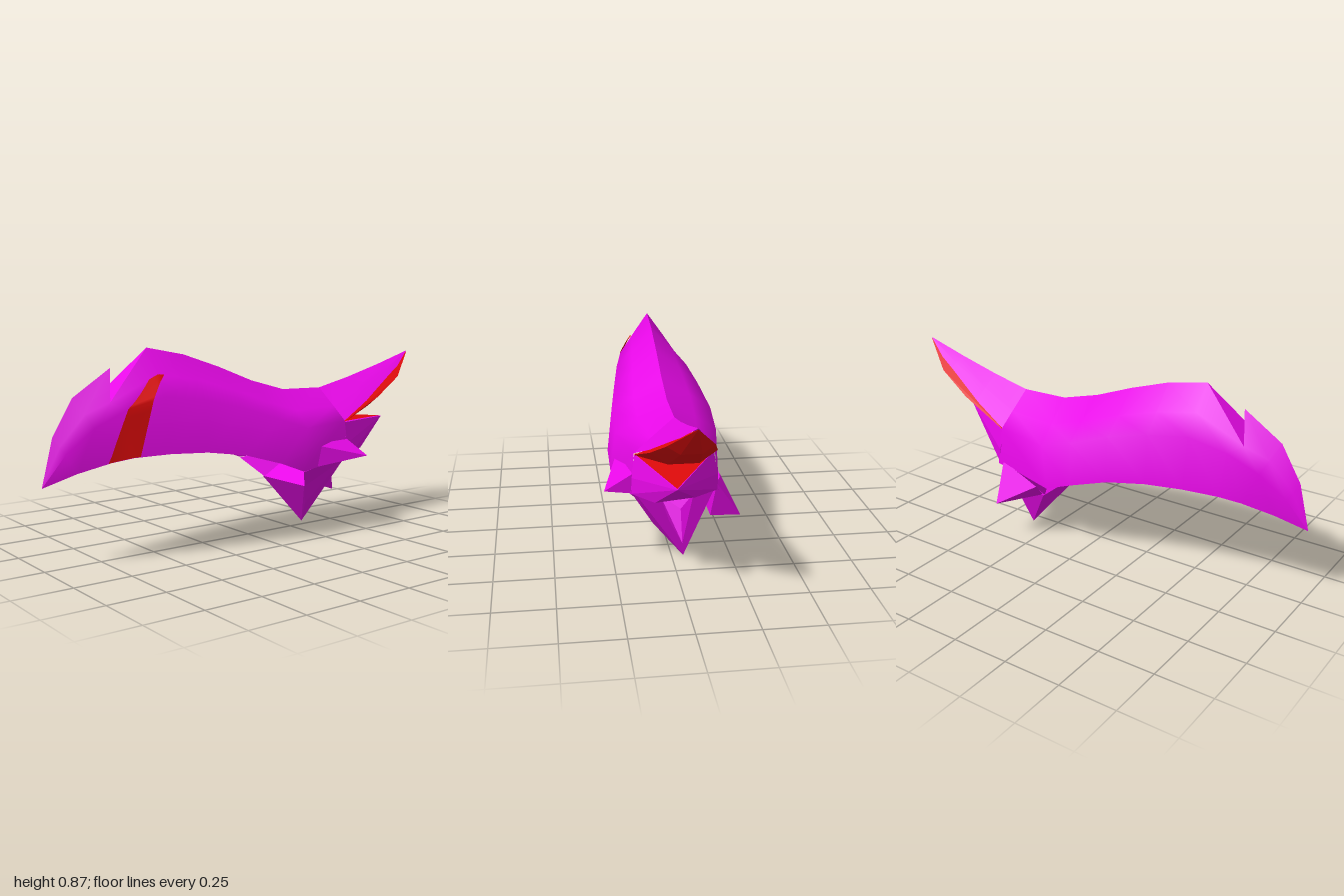
import * as THREE from 'three';
import { ConvexGeometry } from 'three/addons/geometries/ConvexGeometry.js';

// cross-sections of the hollow body: ridge z, ridge y, hem z, hem y, half width
const SECTIONS = [
  [1, 0.335, 1, 0.335, 0],
  [0.95, 0.53, 0.87, 0.385, 0.045],
  [0.86, 0.68, 0.74, 0.42, 0.085],
  [0.69, 0.79, 0.65, 0.435, 0.112],
  [0.52, 0.865, 0.5, 0.44, 0.145],
  [0.34, 0.83, 0.34, 0.435, 0.18],
  [0.16, 0.77, 0.17, 0.41, 0.21],
  [-0.02, 0.7, 0, 0.36, 0.24],
  [-0.2, 0.65, -0.13, 0.31, 0.238],
  [-0.42, 0.645, -0.45, 0.33, 0.18],
];
const OUT = [0, 0.52, 0.92, 1];
const DOWN = [0, 0.25, 0.45, 1];
const NOTCH = 3; // section where the crest is split
const lerp = THREE.MathUtils.lerp;

const BODY = SECTIONS.map(([zt, yt, zl, yl, w]) =>
  OUT.map((o, j) => [w * o, lerp(yt, yl, DOWN[j]), lerp(zt, zl, DOWN[j])]));
BODY[NOTCH][1] = [0.07, 0.66, 0.73];

// tail roof continues the upper part of the last body section to a point
const ROOF = [
  BODY[BODY.length - 1].slice(0, 3),
  [[0, 0.685, -0.6], [0.068, 0.635, -0.61], [0.122, 0.585, -0.62]],
  [[0, 0.738, -0.8], [0.042, 0.71, -0.81], [0.075, 0.678, -0.82]],
  [[0, 0.797, -1], [0, 0.797, -1], [0, 0.797, -1]],
];

function surfaceGeometry(points, index) {
  const g = new THREE.BufferGeometry();
  g.setAttribute('position', new THREE.Float32BufferAttribute(points.flat(), 3));
  g.setIndex(index);
  g.computeVertexNormals();
  return g;
}

// skin one half from rows of ridge-to-hem points; side is +1 or -1
function halfShell(grid, side, notch = -1) {
  const n = grid[0].length;
  const points = grid.flat().map(([x, y, z]) => [x * side, y, z]);
  const index = [];
  const tri = (a, b, c) => index.push(...(side > 0 ? [a, b, c] : [a, c, b]));
  for (let i = 0; i < grid.length - 1; i++) {
    for (let j = 0; j < n - 1; j++) {
      const a = i * n + j, b = a + n, c = a + 1, d = b + 1;
      if (i !== notch || j !== 0) tri(a, c, b); // leave the crest notch open
      tri(c, d, b);
    }
  }
  return surfaceGeometry(points, index);
}

// point on the left wall at section u, row v
function wallPoint(u, v) {
  const i = Math.min(Math.floor(u), BODY.length - 2);
  const j = Math.min(Math.floor(v), OUT.length - 2);
  return [0, 1, 2].map((k) => lerp(
    lerp(BODY[i][j][k], BODY[i + 1][j][k], u - i),
    lerp(BODY[i][j + 1][k], BODY[i + 1][j + 1][k], u - i), v - j));
}

// curved stripe lying just off the left wall
function stripeGeometry() {
  const rows = 12, cols = 6, points = [], index = [];
  const curve = (a, b, c, s) => a + (4 * b - 3 * a - c) * s + (2 * a - 4 * b + 2 * c) * s * s;
  for (let r = 0; r <= rows; r++) {
    const s = r / rows;
    for (let c = 0; c <= cols; c++) {
      const u = lerp(curve(1.9, 3, 3.8, s), curve(3.15, 3.65, 4.15, s), c / cols);
      const [x, y, z] = wallPoint(u, 3 - 2 * s);
      points.push([x + 0.007, y + 0.003, z]);
      if (r < rows && c < cols) {
        const a = r * (cols + 1) + c, b = a + cols + 1;
        index.push(a, a + 1, b, a + 1, b + 1, b);
      }
    }
  }
  return surfaceGeometry(points, index);
}

export function createModel() {
  const group = new THREE.Group();
  const magenta = new THREE.MeshStandardMaterial({ color: 0xe808e8, side: THREE.DoubleSide });
  magenta.name = 'magenta';
  const red = new THREE.MeshStandardMaterial({ color: 0xe00a0a, side: THREE.DoubleSide });
  red.name = 'red';

  const add = (name, geometry, material) => {
    const mesh = new THREE.Mesh(geometry, material);
    mesh.name = name;
    group.add(mesh);
  };
  const hull = (name, points, material = magenta) =>
    add(name, new ConvexGeometry(points.map((p) => new THREE.Vector3(...p))), material);
  const both = (points) => points.flatMap(([x, y, z]) => [[x, y, z], [-x, y, z]]);

  // hollow swept body with a split crest, tail roof and hem flaps
  for (const side of [1, -1]) {
    const label = side > 0 ? 'left' : 'right';
    add(`${label}Body`, halfShell(BODY, side, NOTCH), magenta);
    add(`${label}TailRoof`, halfShell(ROOF, side), magenta);
    hull(`${label}Flap`, [[0.236, 0.307, -0.13], [0.148, 0.22, -0.21],
      [0.16, 0.33, -0.45], [0.215, 0.33, -0.3]].map(([x, y, z]) => [x * side, y, z]));
  }
  add('crestNotch', surfaceGeometry(
    [[-0.07, 0.66, 0.73], [0.07, 0.66, 0.73], [0, 0.865, 0.52]], [0, 1, 2]), magenta);
  add('sideStripe', stripeGeometry(), red);

  // red underside of the long tail spike
  hull('tailUnderside', [[0, 0.792, -1], ...both([[0.165, 0.495, -0.43], [0.13, 0.595, -0.68],
    [0.09, 0.68, -0.85], [0.06, 0.545, -0.68], [0.04, 0.65, -0.86]])], red);

  // middle tail spike with a red top
  hull('middleSpike', [[0.04, 0.485, -0.79], [0.1, 0.355, -0.6], [-0.06, 0.37, -0.6],
    ...both([[0.163, 0.495, -0.425], [0.178, 0.4, -0.44], [0.178, 0.33, -0.44]])]);
  add('middleSpikeTop', surfaceGeometry(
    [[-0.163, 0.501, -0.43], [0.163, 0.501, -0.43], [0.04, 0.489, -0.788]], [0, 1, 2]), red);

  // lower spikes
  hull('lowerSpike', [[0.145, 0.22, -0.21], [-0.16, 0.22, -0.21], [-0.05, 0, -0.36],
    [0.07, 0.12, -0.28], [-0.1, 0.14, -0.27], [0.165, 0.335, -0.44], [-0.165, 0.335, -0.44]]);
  hull('rearLowerSpike', [[0.06, 0.32, -0.44], [-0.08, 0.32, -0.44], [0.03, 0.2, -0.36],
    [-0.06, 0.2, -0.36], [-0.02, 0.27, -0.48], [-0.02, 0.14, -0.53]]);

  // uneven side barbs
  hull('leftBarb', [[0.29, 0.355, -0.46], [0.228, 0.41, -0.24], [0.225, 0.32, -0.22],
    [0.15, 0.43, -0.44], [0.16, 0.33, -0.44]]);
  hull('rightBarb', [[-0.29, 0.185, -0.38], [-0.235, 0.3, -0.19], [-0.24, 0.25, -0.28],
    [-0.165, 0.18, -0.36], [-0.15, 0.22, -0.22], [-0.18, 0.35, -0.42]]);

  return group;
}
